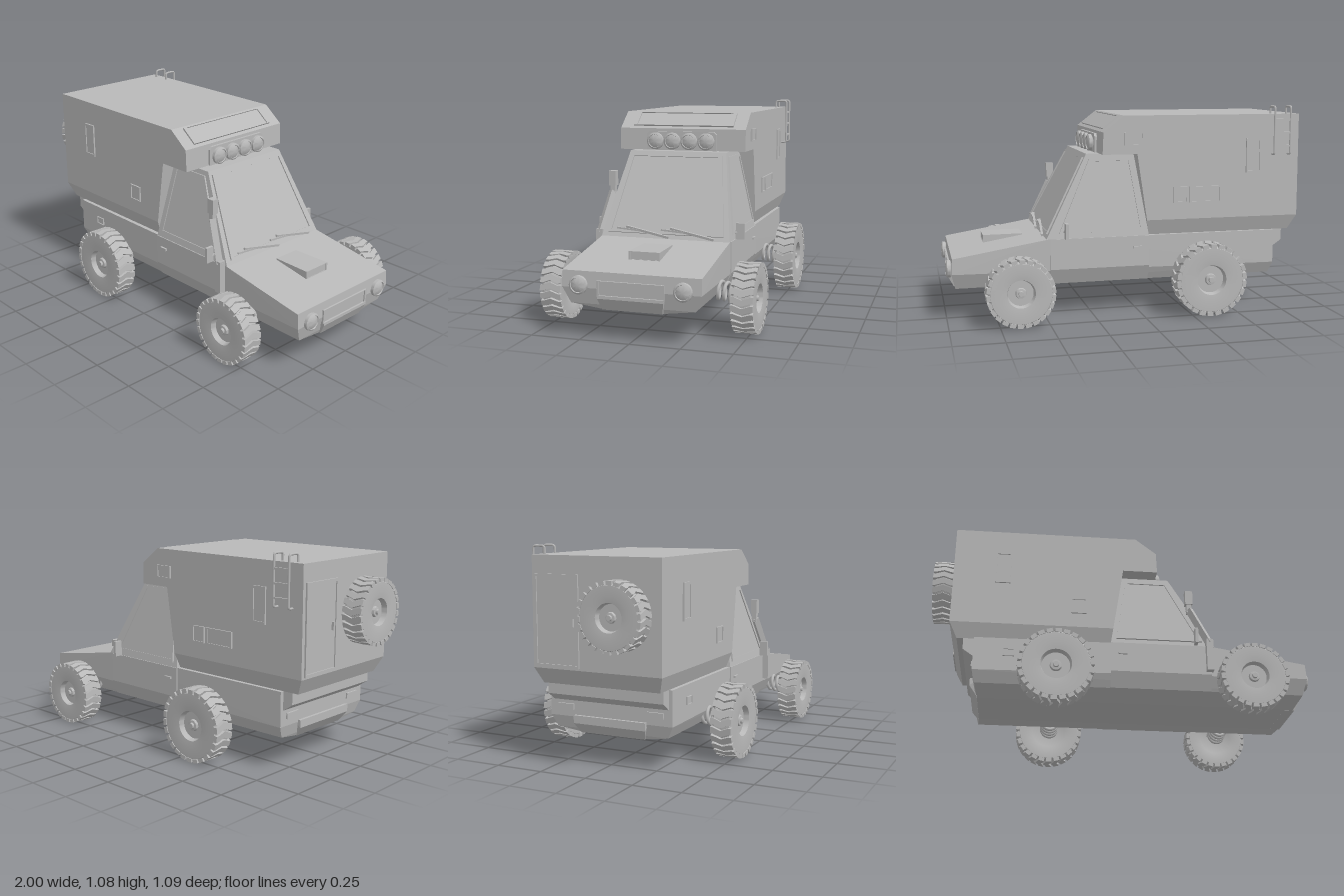
import * as THREE from 'three';
import { toCreasedNormals } from 'three/addons/utils/BufferGeometryUtils.js';
import { ConvexGeometry } from 'three/addons/geometries/ConvexGeometry.js';

const V = (x, y, z) => new THREE.Vector3(x, y, z);

export function createModel() {
  const root = new THREE.Group();
  root.name = 'camperTruck';
  const grey = new THREE.MeshStandardMaterial({ color: 0xb8b8b8 });
  grey.name = 'plain grey';

  const add = (name, geometry, parent = root) => {
    const mesh = new THREE.Mesh(geometry, grey);
    mesh.name = name;
    parent.add(mesh);
    return mesh;
  };
  // Solid whose corners are given for one side and mirrored in z
  const hull = (name, pts) =>
    add(name, new ConvexGeometry(pts.flatMap(([x, y, z]) => [V(x, y, z), V(x, y, -z)])));
  // Straight box bar between two points
  const bar = (name, a, b, w, d = w) => {
    const dir = b.clone().sub(a);
    const m = add(name, new THREE.BoxGeometry(w, dir.length(), d));
    m.position.copy(a).add(b).multiplyScalar(0.5);
    m.quaternion.setFromUnitVectors(V(0, 1, 0), dir.normalize());
    return m;
  };
  const tube = (name, pts, r, tension = 0.1, segments = 48, parent = root) =>
    add(name, new THREE.TubeGeometry(
      new THREE.CatmullRomCurve3(pts, false, 'catmullrom', tension), segments, r, 8), parent);
  // Raised frame round a thin pane; corners run counter-clockwise seen from outside
  const panel = (name, c, inner = 0.86, depth = 0.009) => {
    const u = c[1].clone().sub(c[0]).normalize();
    const n = u.clone().cross(c[3].clone().sub(c[0])).normalize();
    const v = n.clone().cross(u);
    const mid = c.reduce((s, p) => s.add(p), V(0, 0, 0)).multiplyScalar(0.25);
    const flat = c.map(p => {
      const d = p.clone().sub(mid);
      return new THREE.Vector2(d.dot(u), d.dot(v));
    });
    const hole = flat.map(p => p.clone().multiplyScalar(inner));
    const frame = new THREE.Shape(flat);
    frame.holes.push(new THREE.Path(hole));
    const place = new THREE.Matrix4().makeBasis(u, v, n).setPosition(mid);
    const plate = (label, shape, d) => add(label,
      new THREE.ExtrudeGeometry(shape, { depth: d, bevelEnabled: false }).applyMatrix4(place));
    plate(name + 'Frame', frame, depth);
    plate(name + 'Pane', new THREE.Shape(hole), 0.003);
  };
  // Rectangular panel on a side wall, s = +1 or -1
  const sidePanel = (name, s, x, y, w, h, z = 0.35) =>
    panel(name, [[-1, -1], [1, -1], [1, 1], [-1, 1]].map(([a, b]) =>
      V(x + s * a * w / 2, y + b * h / 2, s * z)));

  // Lower body, with chamfered sills and shallow keel
  hull('lowerBody', [
    [-0.76, 0.41, 0.34], [0.48, 0.41, 0.345], [0.97, 0.33, 0.345], [0.975, 0.25, 0.345],
    [-0.76, 0.23, 0.34], [0.955, 0.17, 0.31], [-0.745, 0.17, 0.31],
    [0.945, 0.148, 0.16], [-0.735, 0.148, 0.16]]);
  hull('doorSection', [
    [-0.055, 0.41, 0.35], [0.47, 0.41, 0.35], [-0.055, 0.25, 0.35], [0.47, 0.25, 0.35],
    [-0.055, 0.17, 0.315], [0.47, 0.17, 0.315]]);
  hull('rearBumper', [
    [-0.815, 0.41, 0.32], [-0.815, 0.35, 0.32], [-0.757, 0.31, 0.32], [-0.75, 0.41, 0.32]]);
  hull('rearStep', [
    [-0.775, 0.24, 0.2], [-0.775, 0.2, 0.2], [-0.735, 0.147, 0.18], [-0.72, 0.24, 0.2]]);

  // Cab
  hull('cab', [
    [-0.055, 0.41, 0.345], [0.49, 0.41, 0.345], [0.265, 0.84, 0.265], [0.01, 0.84, 0.265]]);
  const screenX = y => 0.265 + (0.84 - y) * 0.523;
  const cabZ = y => 0.345 - (y - 0.41) * 0.186;
  panel('windscreen', [[0.43, 0.31], [0.43, -0.31], [0.82, -0.25], [0.82, 0.25]]
    .map(([y, z]) => V(screenX(y), y, z)), 0.95);
  const sideGlass = [[-0.025, 0.435], [0.425, 0.435], [0.25, 0.815], [0.03, 0.815]];
  panel('leftWindow', sideGlass.map(([x, y]) => V(x, y, -cabZ(y))).reverse(), 0.92);
  panel('rightWindow', sideGlass.map(([x, y]) => V(x, y, cabZ(y))), 0.92);

  // Wipers
  for (const z of [0.26, 0.02]) {
    const on = (y, dz) => V(screenX(y) + 0.016, y, z - dz);
    bar('wiperBlade', on(0.463, 0.05), on(0.42, 0.285), 0.012);
    bar('wiperArm', on(0.455, 0), on(0.445, 0.15), 0.009);
  }

  // Camper box, with tucked-in lower edge and overhang above the cab
  hull('camperBox', [
    [-0.89, 1.04, 0.35], [0.01, 1.04, 0.35], [0.01, 0.84, 0.35], [-0.89, 0.49, 0.35],
    [-0.043, 0.49, 0.35], [-0.85, 0.41, 0.32], [-0.055, 0.41, 0.32]]);
  hull('camperOverhang', [
    [0.01, 1.04, 0.35], [0.08, 1.04, 0.35], [0.19, 0.955, 0.35],
    [0.195, 0.84, 0.35], [0.01, 0.84, 0.35]]);
  panel('frontSkylight', [[0.175, 0.966, 0.28], [0.175, 0.966, -0.28],
    [0.09, 1.032, -0.28], [0.09, 1.032, 0.28]].map(p => V(...p)), 0.93);
  sidePanel('rightCamperWindow', 1, -0.63, 0.82, 0.08, 0.185);
  sidePanel('rightHatch', 1, -0.225, 0.61, 0.08, 0.085);
  sidePanel('leftCamperWindow', -1, -0.63, 0.82, 0.08, 0.185);
  sidePanel('leftSmallHatch', -1, -0.225, 0.62, 0.08, 0.085);
  sidePanel('leftLargeHatch', -1, -0.365, 0.62, 0.18, 0.085);
  sidePanel('leftSmallWindow', -1, 0.03, 0.92, 0.1, 0.065);
  panel('rearDoor', [V(-0.89, 0.5, -0.33), V(-0.89, 0.5, -0.09),
    V(-0.89, 0.95, -0.09), V(-0.89, 0.95, -0.33)], 0.94);
  bar('rearDoorHandle', V(-0.9, 0.7, -0.12), V(-0.9, 0.74, -0.12), 0.012);

  // Side handles, filler cover and mirrors
  for (const s of [1, -1]) {
    bar('doorHandle', V(-0.015, 0.35, s * 0.355), V(0.03, 0.35, s * 0.355), 0.012);
    bar('mirrorStalk', V(0.4, 0.44, s * 0.33), V(0.39, 0.455, s * 0.37), 0.01);
    const mirror = add('mirror', new THREE.BoxGeometry(0.016, 0.083, 0.045));
    mirror.position.set(0.39, 0.453, s * 0.375);
  }
  sidePanel('fuelCover', 1, -0.58, 0.33, 0.06, 0.04, 0.34);
  for (const s of [1, -1])
    add('tailLamp', new THREE.BoxGeometry(0.012, 0.03, 0.09)).position.set(-0.763, 0.28, s * 0.25);

  // Snorkel
  bar('snorkelHead', V(0.365, 0.66, 0.326), V(0.365, 0.738, 0.326), 0.04, 0.036);
  bar('snorkelNeck', V(0.365, 0.61, 0.326), V(0.365, 0.67, 0.326), 0.026);
  bar('snorkelPipe', V(0.367, 0.63, 0.328), V(0.46, 0.42, 0.365), 0.032);
  bar('snorkelBase', V(0.46, 0.44, 0.365), V(0.46, 0.265, 0.365), 0.036);

  // Bonnet scoop, grille and front bumper
  hull('bonnetScoop', [
    [0.58, 0.4, 0.075], [0.785, 0.4, 0.08], [0.785, 0.355, 0.08], [0.58, 0.385, 0.075]]);
  panel('scoopMouth', [V(0.785, 0.358, 0.08), V(0.785, 0.358, -0.08),
    V(0.785, 0.4, -0.08), V(0.785, 0.4, 0.08)], 0.88, 0.006);
  panel('grille', [V(0.972, 0.215, 0.167), V(0.972, 0.215, -0.167),
    V(0.975, 0.29, -0.167), V(0.975, 0.29, 0.167)], 0.93);
  hull('frontBumper', [
    [0.94, 0.22, 0.165], [0.985, 0.22, 0.165], [0.985, 0.205, 0.163],
    [0.955, 0.147, 0.15], [0.9, 0.147, 0.15]]);

  // Round lamps facing forward
  const lampProfile = [[0.03, 0], [0.045, 0.008], [0.045, 0.024], [0.036, 0.03],
    [0.034, 0.024], [0.02, 0.03], [0, 0.032]].map(p => new THREE.Vector2(...p));
  const lampGeometry = toCreasedNormals(
    new THREE.LatheGeometry(lampProfile, 28).rotateZ(-Math.PI / 2), 0.6);
  for (const s of [1, -1]) add('headlamp', lampGeometry).position.set(0.968, 0.265, s * 0.258);
  hull('lampBar', [
    [0.18, 0.84, 0.195], [0.18, 0.925, 0.195], [0.18, 0.94, 0.18],
    [0.205, 0.84, 0.195], [0.205, 0.925, 0.195], [0.205, 0.94, 0.18]]);
  for (let i = 0; i < 4; i++)
    add('roofLamp', lampGeometry).position.set(0.205, 0.89, (i - 1.5) * 0.094);

  // Ladder hooked over the roof edge
  for (const x of [-0.83, -0.74]) {
    tube('ladderRail', [[1.03, -0.315], [1.072, -0.315], [1.08, -0.325], [1.08, -0.37],
      [1.07, -0.38], [0.835, -0.38], [0.826, -0.372], [0.826, -0.345]]
      .map(([y, z]) => V(x, y, z)), 0.006);
  }
  for (const y of [0.87, 0.94, 1.01])
    bar('ladderRung', V(-0.83, y, -0.38), V(-0.74, y, -0.38), 0.01);

  // Wheel with chevron tread; outer side faces its own +z
  const makeWheel = (name, R, w = 0.055) => {
    const g = new THREE.Group();
    g.name = name;
    const spin = new THREE.Group();
    spin.name = 'tyre';
    spin.rotation.x = Math.PI / 2;
    g.add(spin);
    const profile = [[0, -0.7], [0.5, -0.8], [0.6, -0.95], [0.88, -0.95], [0.93, -0.75],
      [0.93, 0.75], [0.88, 0.95], [0.6, 0.98], [0.41, 0.9], [0.37, 0.4], [0.16, 0.4],
      [0.14, 0.62], [0.08, 0.65], [0.07, 0.85], [0, 0.85]]
      .map(([r, y]) => new THREE.Vector2(r * R, y * w));
    add('carcass', toCreasedNormals(new THREE.LatheGeometry(profile, 52), 0.5), spin);
    const count = 26, p = 2 * Math.PI * R / count;
    const chevron = new THREE.Shape([[-0.5, -1], [0.2, -1], [0.2, -0.75], [0.55, 0], [0.2, 0.75],
      [0.2, 1], [-0.5, 1], [-0.5, 0.75], [-0.15, 0], [-0.5, -0.75]]
      .map(([a, b]) => new THREE.Vector2(a * p, b * w)));
    const block = new THREE.ExtrudeGeometry(chevron, { depth: 0.11 * R, bevelEnabled: false });
    for (let i = 0; i < count; i++) {
      const t = i / count * Math.PI * 2, m = add('treadBlock', block, spin);
      m.position.set(0.885 * R * Math.sin(t), 0, 0.885 * R * Math.cos(t));
      m.rotation.y = t;
    }
    root.add(g);
    return g;
  };

  // Road wheels with coil springs
  for (const [end, x, y, R] of [['front', 0.647, 0.178, 0.173], ['rear', -0.342, 0.194, 0.19]]) {
    for (const s of [1, -1]) {
      const wheel = makeWheel(end + 'Wheel', R);
      wheel.position.set(x, y, s * 0.488);
      if (s < 0) wheel.rotation.y = Math.PI;
      const coil = [];
      for (let i = 0; i <= 64; i++) {
        const t = i / 64, a = t * Math.PI * 9;
        coil.push(V(x + 0.043 * Math.cos(a), 0.21 - 0.02 * t + 0.043 * Math.sin(a),
          s * (0.31 + 0.135 * t)));
      }
      tube(end + 'Spring', coil, 0.009, 0.5, 160);
    }
  }

  // Spare wheel on the back wall
  const spare = makeWheel('spareWheel', 0.17);
  spare.position.set(-0.945, 0.766, 0.13);
  spare.rotation.y = -Math.PI / 2;
  const mount = add('spareMount', new THREE.CylinderGeometry(0.05, 0.05, 0.04, 24));
  mount.rotation.z = Math.PI / 2;
  mount.position.set(-0.895, 0.766, 0.13);

  return root;
}
